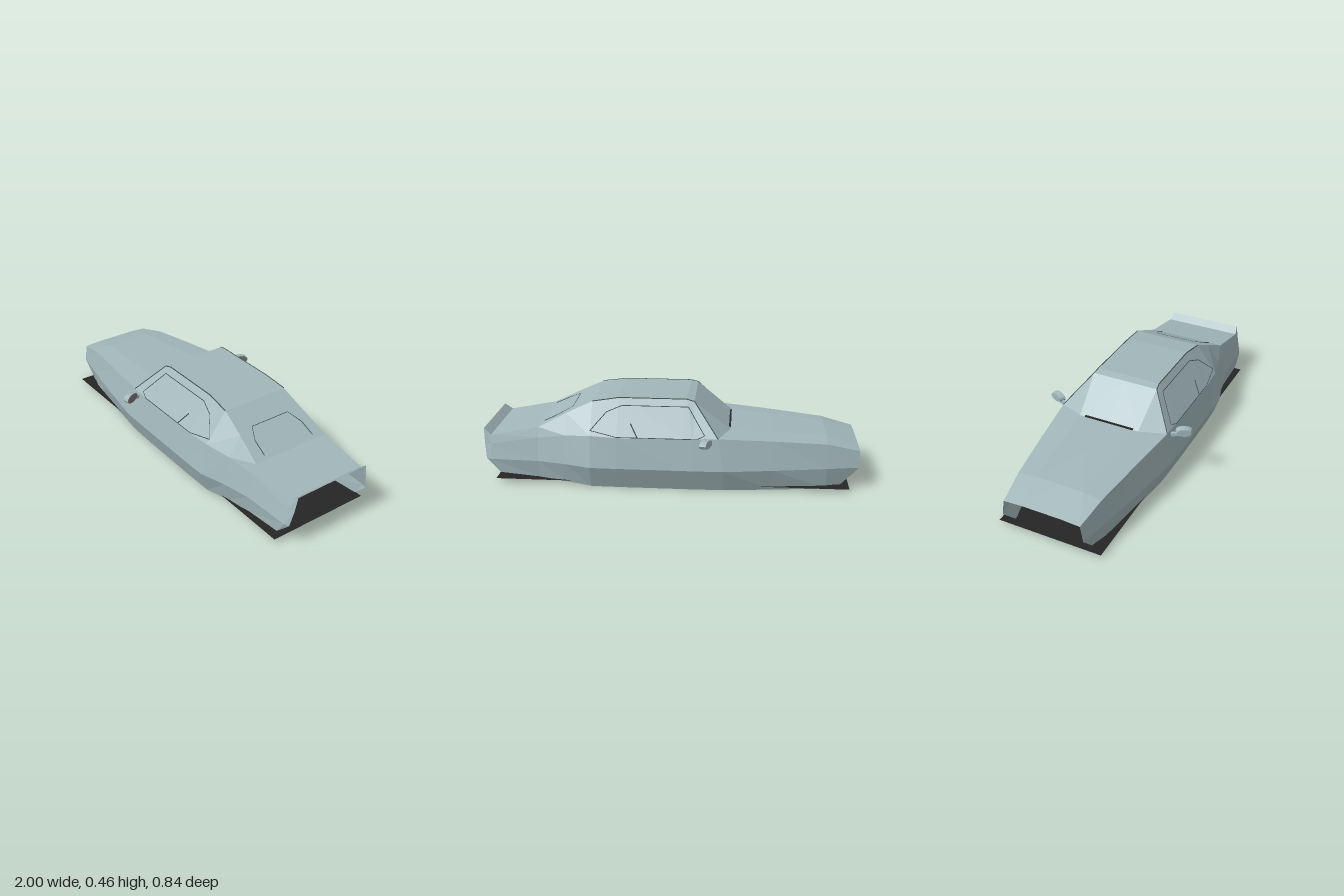
import * as THREE from 'three';

const mat = (name, color) => {
  const m = new THREE.MeshStandardMaterial({ color, flatShading: true, side: THREE.DoubleSide });
  m.name = name;
  return m;
};

// Stations from nose to tail: x, sill z, waist z, belt y, belt z, rail y, rail z
const STATIONS = [
  [-1, 0.215, 0.222, 0.208, 0.208, 0.214, 0.11],
  [-0.83, 0.235, 0.255, 0.248, 0.232, 0.26, 0.13],
  [-0.55, 0.27, 0.303, 0.27, 0.27, 0.281, 0.15],
  [-0.29, 0.3, 0.342, 0.288, 0.308, 0.297, 0.17],
  [-0.13, 0.303, 0.344, 0.282, 0.31, 0.45, 0.185],
  [-0.09, 0.303, 0.344, 0.282, 0.31, 0.46, 0.18],
  [0.27, 0.303, 0.344, 0.28, 0.312, 0.46, 0.18],
  [0.41, 0.3, 0.342, 0.285, 0.305, 0.44, 0.19],
  [0.55, 0.275, 0.3, 0.27, 0.268, 0.374, 0.203],
  [0.7, 0.256, 0.268, 0.245, 0.24, 0.298, 0.222],
  [0.96, 0.256, 0.258, 0.2, 0.238, 0.247, 0.224],
  [1, 0.25, 0.248, 0.2, 0.23, 0.28, 0.215],
];

// Full cross-section, from one sill over the crown to the other
function ring([x, sillZ, waistZ, beltY, beltZ, railY, railZ]) {
  const sillX = THREE.MathUtils.clamp(x, -0.89, 0.91);
  const sillY = Math.max(0, (sillX - 0.41) * 0.09);
  const cowl = x === -0.29 ? 0.03 : 0; // windscreen base wraps back at its corners
  const half = [
    [sillX, sillY, sillZ],
    [Math.min(x, 0.985), 0.12, waistZ],
    [Math.min(x + cowl, 0.995), beltY, beltZ],
    [x - cowl, railY, railZ],
  ];
  return [...half, [x - cowl, railY, 0], ...half.map(([px, py, pz]) => [px, py, -pz]).reverse()];
}

// Skin the cross-sections with quads, split alike on both sides
function loftBody() {
  const rings = STATIONS.map(ring);
  const pos = [];
  for (let i = 0; i < rings.length - 1; i++) {
    for (let j = 0; j < rings[i].length - 1; j++) {
      const a = rings[i][j], b = rings[i + 1][j], c = rings[i + 1][j + 1], d = rings[i][j + 1];
      if (j < 4) pos.push(...a, ...b, ...c, ...a, ...c, ...d);
      else pos.push(...a, ...b, ...d, ...b, ...c, ...d);
    }
  }
  const g = new THREE.BufferGeometry();
  g.setAttribute('position', new THREE.Float32BufferAttribute(pos, 3));
  g.computeVertexNormals();
  return g;
}

export function createModel() {
  const car = new THREE.Group();
  car.name = 'car';
  const paint = mat('bodyPaint', 0xa2b7ba);
  const black = mat('undersideBlack', 0x262525);
  const brown = mat('interiorBrown', 0x8f6041);
  const seamDark = mat('seamDark', 0x4a5658);
  const glass = mat('mirrorGlass', 0x7c7677);

  const add = (name, geo, material, parent = car) => {
    const m = new THREE.Mesh(geo, material);
    m.name = name;
    parent.add(m);
    return m;
  };

  // Thin bar joining two points
  const bar = (name, a, b, size, material, parent = car) => {
    const p = new THREE.Vector3(...a), q = new THREE.Vector3(...b);
    const m = add(name, new THREE.BoxGeometry(size, size, p.distanceTo(q)), material, parent);
    m.position.copy(p).add(q).multiplyScalar(0.5);
    m.lookAt(q);
  };

  add('bodyShell', loftBody(), paint);

  // Underside and cabin
  const floor = add('floorPan', new THREE.PlaneGeometry(1.88, 0.57), black);
  floor.rotation.x = -Math.PI / 2;
  floor.position.set(-0.01, 0.02, 0);
  const carpet = add('cabinFloor', new THREE.PlaneGeometry(0.4, 0.16), brown);
  carpet.rotation.x = Math.PI / 2;
  carpet.position.set(-0.12, 0.017, 0);
  const wall = new THREE.Shape();
  wall.moveTo(-0.285, 0.02).lineTo(0.285, 0.02).lineTo(0.3, 0.12).lineTo(0.285, 0.24);
  wall.lineTo(-0.285, 0.24).lineTo(-0.3, 0.12);
  const firewall = add('firewall', new THREE.ShapeGeometry(wall), brown);
  firewall.rotation.y = Math.PI / 2;
  firewall.position.x = -0.33;

  // Slot at the base of the windscreen
  add('cowlSlot', new THREE.BoxGeometry(0.01, 0.006, 0.28), black).position.set(-0.318, 0.3, 0);

  // Rear window outline
  const rearY = (x) => 0.44 - (x - 0.41) * 0.475;
  const rearLine = [[0.68, 0.155], [0.6, 0.15], [0.53, 0.115], [0.53, -0.115], [0.6, -0.15], [0.68, -0.155]];
  rearLine.slice(1).forEach(([x, z], i) => {
    const [px, pz] = rearLine[i];
    bar('rearWindowSeam', [px, rearY(px), pz], [x, rearY(x), z], 0.003, seamDark);
  });

  for (const s of [1, -1]) {
    const side = new THREE.Group();
    side.name = s > 0 ? 'leftSideDetails' : 'rightSideDetails';
    car.add(side);

    // Side window seams, lying on the sloped upper side
    const on = (x, y) => [x, y, s * (0.311 - (y - 0.281) * 0.73)];
    const loop = [[-0.19, 0.3], [-0.1, 0.425], [0.25, 0.425], [0.33, 0.395], [0.41, 0.31], [0.27, 0.283], [-0.15, 0.283]];
    loop.forEach((p, i) => {
      bar('sideWindowSeam', on(...p), on(...loop[(i + 1) % loop.length]), 0.003, seamDark, side);
    });
    bar('windowPillar', on(0.2, 0.345), on(0.16, 0.283), 0.005, seamDark, side);

    // Windscreen and roof edges
    const edge = [[-0.26, 0.288, 0.308], [-0.13, 0.45, 0.185], [-0.09, 0.46, 0.18], [0.27, 0.46, 0.18], [0.41, 0.44, 0.19]]
      .map(([x, y, z]) => [x, y, s * z]);
    edge.slice(1).forEach((p, i) => bar('roofEdge', edge[i], p, 0.004, seamDark, side));

    // Door mirror on a short arm
    bar('mirrorArm', [-0.22, 0.262, s * 0.31], [-0.21, 0.272, s * 0.355], 0.018, paint, side);
    const mirror = new THREE.Group();
    mirror.name = 'doorMirror';
    mirror.position.set(-0.2, 0.285, s * 0.377);
    mirror.rotation.y = s * 0.4;
    side.add(mirror);
    const pod = new THREE.CylinderGeometry(1, 0.85, 0.034, 12).rotateZ(-Math.PI / 2).scale(1, 0.025, 0.046);
    add('mirrorHousing', pod, paint, mirror);
    const face = new THREE.CircleGeometry(1, 12).rotateY(Math.PI / 2).scale(1, 0.023, 0.043);
    add('mirrorGlass', face, glass, mirror).position.x = 0.0185;
  }
  return car;
}
